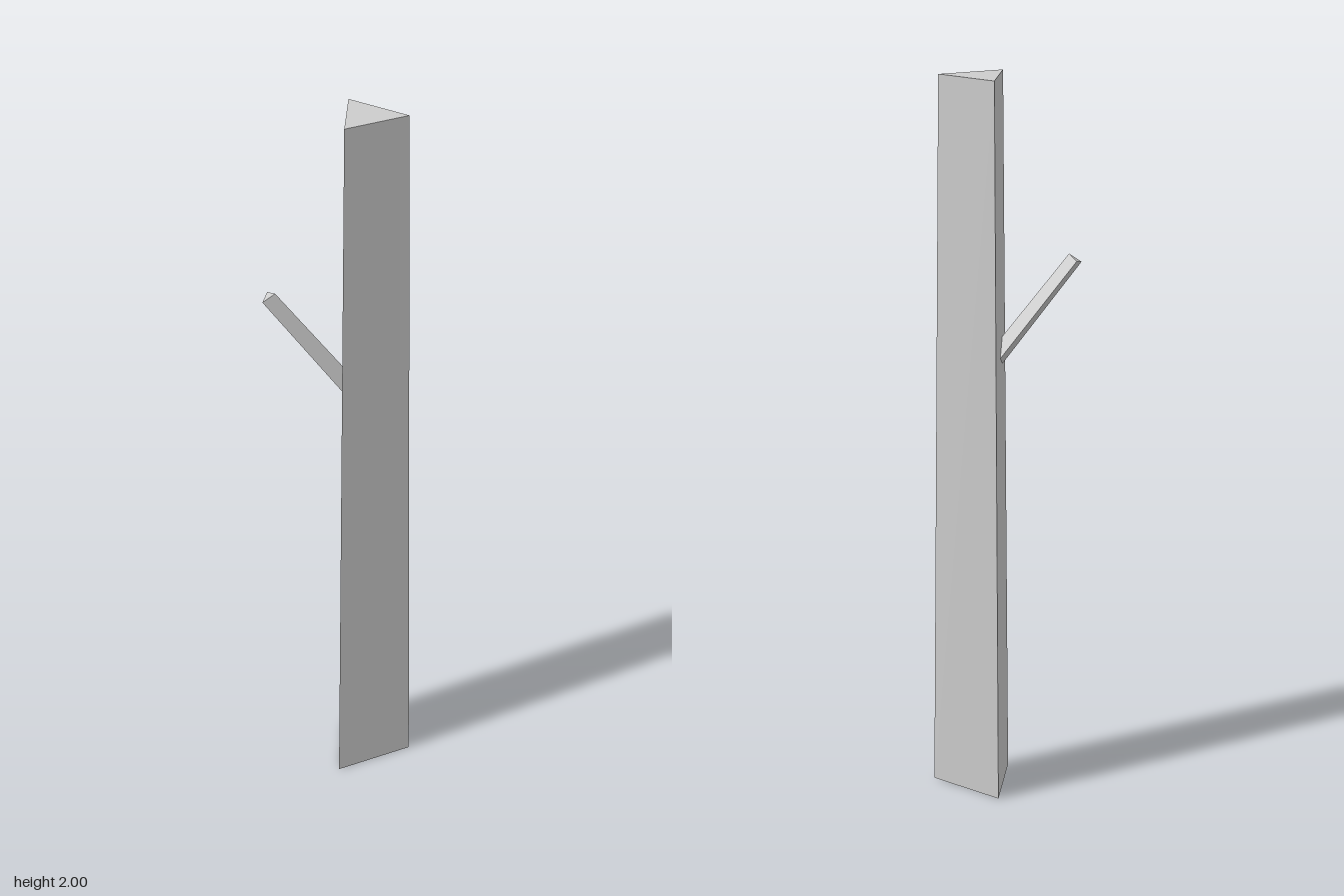
import * as THREE from 'three';

// Closed tapered prism between two matching rings, counter-clockwise from above
function prism(lower, upper) {
  const n = lower.length;
  const pos = [];
  const tri = (a, b, c) => pos.push(...a, ...b, ...c);
  for (let i = 0; i < n; i++) {
    const j = (i + 1) % n;
    tri(lower[i], lower[j], upper[j]);
    tri(lower[i], upper[j], upper[i]);
  }
  for (let i = 1; i < n - 1; i++) {
    tri(upper[0], upper[i], upper[i + 1]);
    tri(lower[0], lower[i + 1], lower[i]);
  }
  const g = new THREE.BufferGeometry();
  g.setAttribute('position', new THREE.Float32BufferAttribute(pos, 3));
  g.computeVertexNormals();
  return g;
}

export function createModel() {
  const model = new THREE.Group();
  model.name = 'bareTree';

  const bark = new THREE.MeshStandardMaterial({ color: 0xcccccc, flatShading: true });
  bark.name = 'pale grey bark';

  const add = (name, lower, upper) => {
    const mesh = new THREE.Mesh(prism(lower, upper), bark);
    mesh.name = name;
    model.add(mesh);
  };

  // Three-sided trunk, narrowing towards the top
  const ring = (s, y) => [[-1, 1], [1, 1], [0, -1]]
    .map(([x, z]) => [0.075 + x * 0.1135 * s, y, z * 0.098 * s]);
  add('trunk', ring(1, 0), ring(0.805, 2));

  // Three-sided branch stub, rising out of the trunk's right side
  add('branch',
    [[0.01, 1.207, 0.037], [0.048, 1.234, 0.049], [0.044, 1.219, 0.001]],
    [[-0.19, 1.495, -0.045], [-0.158, 1.518, -0.035], [-0.162, 1.505, -0.075]]);

  return model;
}
